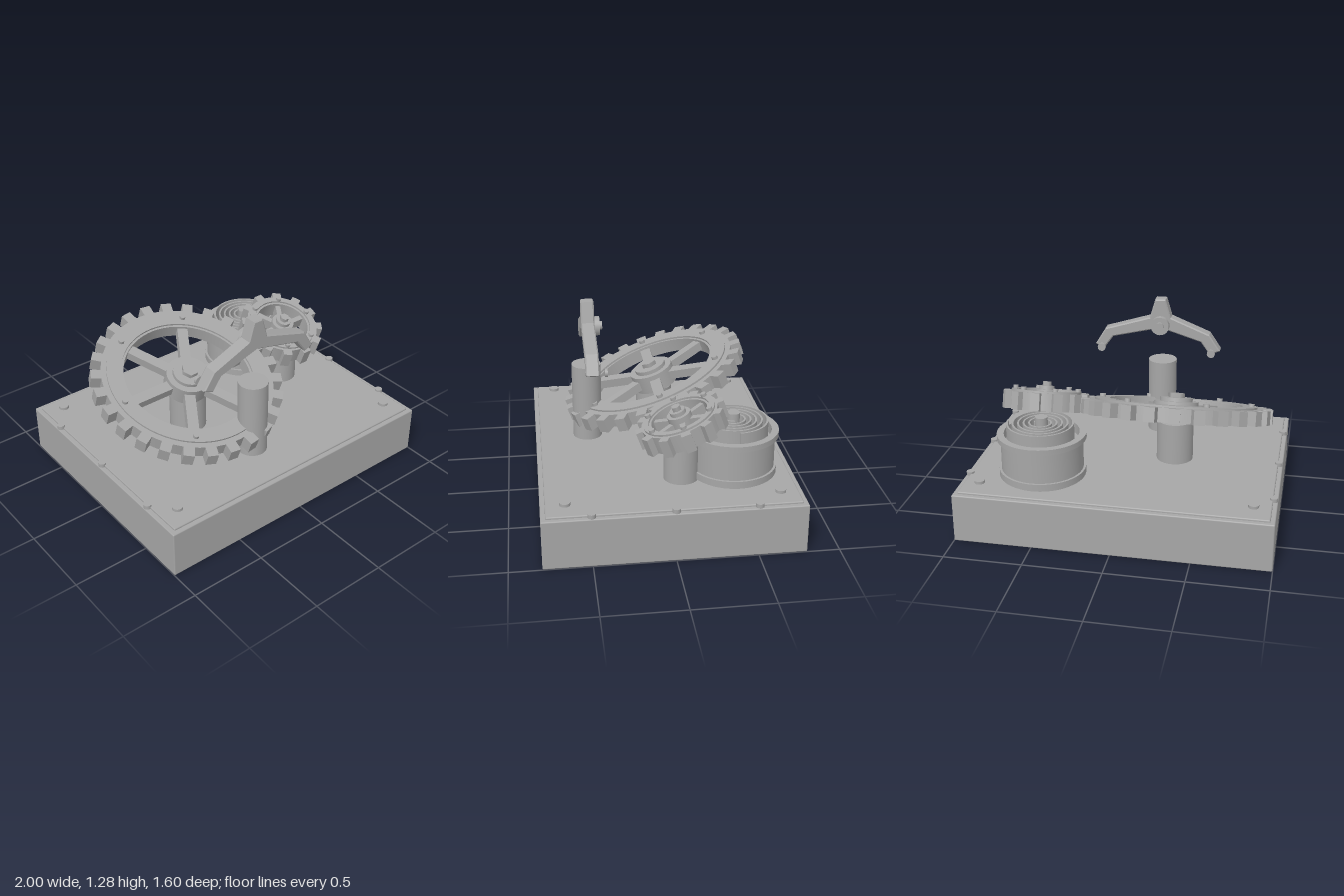
import * as THREE from 'three';
import { toCreasedNormals } from 'three/addons/utils/BufferGeometryUtils.js';
import { RoundedBoxGeometry } from 'three/addons/geometries/RoundedBoxGeometry.js';

const metal = new THREE.MeshStandardMaterial({ color: 0xa6a6a6 });
metal.name = 'plain grey metal';

function add(parent, name, geometry, x = 0, y = 0, z = 0) {
  const mesh = new THREE.Mesh(geometry, metal);
  mesh.name = name;
  mesh.position.set(x, y, z);
  parent.add(mesh);
  return mesh;
}

// Upright cylinder standing from y0 to y1
function post(parent, name, r, y0, y1, x = 0, z = 0, sides = 32) {
  return add(parent, name, new THREE.CylinderGeometry(r, r, y1 - y0, sides), x, (y0 + y1) / 2, z);
}

// Flat ring with a rectangular section
function ring(parent, name, rIn, rOut, y0, y1, x = 0, z = 0) {
  const profile = [[rIn, y0], [rOut, y0], [rOut, y1], [rIn, y1], [rIn, y0]]
    .map(([r, y]) => new THREE.Vector2(r, y));
  return add(parent, name, toCreasedNormals(new THREE.LatheGeometry(profile, 64), 0.6), x, 0, z);
}

// Spoked gear lying in its own xz plane
function gear(name, g) {
  const group = new THREE.Group();
  group.name = name;
  const h = g.thickness / 2;
  ring(group, 'gearRim', g.opening, g.body, -h, h);
  ring(group, 'raisedRing', g.opening + 0.015, g.body - g.lip, h, h + 0.012);

  const depth = g.outer - g.body + 0.02;
  for (let i = 0; i < g.teeth; i++) {
    const a = (i / g.teeth) * Math.PI * 2;
    const r = g.outer - depth / 2;
    const tooth = add(group, 'tooth', new THREE.BoxGeometry(depth, g.thickness, g.toothWidth),
      Math.cos(a) * r, 0, -Math.sin(a) * r);
    tooth.rotation.y = a;
  }
  for (let i = 0; i < 6; i++) {
    const a = (i / 6) * Math.PI * 2;
    const r0 = g.hub * 0.8, r1 = g.opening + 0.01, r = (r0 + r1) / 2;
    const spoke = add(group, 'spoke', new THREE.BoxGeometry(r1 - r0, g.thickness * 0.65, g.spokeWidth),
      Math.cos(a) * r, 0, -Math.sin(a) * r);
    spoke.rotation.y = a;
    post(group, 'rimBolt', g.bolt, h, h + 0.032, Math.cos(a) * g.boltCircle, -Math.sin(a) * g.boltCircle, 12);
  }
  post(group, 'hub', g.hub, -h - 0.015, h + 0.015, 0, 0, 40);
  post(group, 'hubCollar', g.collar, h + 0.015, h + 0.04);
  post(group, 'hubNut', g.nut, h + 0.04, h + 0.068, 0, 0, 6).rotation.y = Math.PI / 6;
  return group;
}

// Flat coil of strip, wound from the outside in
function spiralSpring(turns, rOut, rIn, strip, height) {
  const outer = [], inner = [], n = turns * 40;
  for (let i = 0; i <= n; i++) {
    const a = (i / 40) * Math.PI * 2;
    const r = rOut + (rIn - rOut) * (i / n);
    outer.push(new THREE.Vector2(Math.cos(a) * r, Math.sin(a) * r));
    inner.push(new THREE.Vector2(Math.cos(a) * (r - strip), Math.sin(a) * (r - strip)));
  }
  const shape = new THREE.Shape([...outer, ...inner.reverse()]);
  const geometry = new THREE.ExtrudeGeometry(shape, { depth: height, bevelEnabled: false });
  geometry.rotateX(-Math.PI / 2);
  return toCreasedNormals(geometry, 0.6);
}

export function createModel() {
  const model = new THREE.Group();
  model.name = 'clockworkMechanism';

  // Base block and cover plate
  add(model, 'baseBlock', new RoundedBoxGeometry(2, 0.32, 1.6, 1, 0.008), 0, 0.16, 0);
  add(model, 'coverPlate', new RoundedBoxGeometry(1.94, 0.03, 1.54, 1, 0.008), 0, 0.318, 0);
  for (const sx of [-1, 1]) {
    for (const sz of [-1, 1]) post(model, 'cornerScrew', 0.033, 0.35, 0.368, sx * 0.86, sz * 0.65, 16);
    for (const z of [-0.5, 0, 0.5]) post(model, 'edgeScrew', 0.025, 0.318, 0.345, sx * 0.973, z, 12);
  }

  // Support posts
  post(model, 'largeGearPost', 0.12, 0.32, 0.61, -0.285, -0.02);
  post(model, 'smallGearPost', 0.11, 0.32, 0.61, 0.568, -0.085);
  post(model, 'frontPost', 0.096, 0.32, 0.845, -0.123, 0.449);

  // Pair of tilted gears
  const tilt = THREE.MathUtils.degToRad(20);
  const large = gear('largeGear', {
    outer: 0.63, body: 0.565, opening: 0.42, lip: 0.035, thickness: 0.09, teeth: 26, toothWidth: 0.07,
    spokeWidth: 0.07, hub: 0.147, collar: 0.107, nut: 0.054, bolt: 0.02, boltCircle: 0.49,
  });
  large.position.set(-0.286, 0.669, -0.02);
  const small = gear('smallGear', {
    outer: 0.284, body: 0.245, opening: 0.18, lip: 0.015, thickness: 0.115, teeth: 12, toothWidth: 0.06,
    spokeWidth: 0.035, hub: 0.075, collar: 0.05, nut: 0.03, bolt: 0.018, boltCircle: 0.212,
  });
  small.position.set(0.568, 0.7, -0.09);
  for (const g of [large, small]) {
    g.rotation.x = tilt;
    model.add(g);
  }

  // Spring drum with its coil and arbor
  const dx = 0.51, dz = -0.418;
  ring(model, 'drumWall', 0.24, 0.262, 0.335, 0.6, dx, dz);
  ring(model, 'drumTopFlange', 0.24, 0.284, 0.592, 0.628, dx, dz);
  ring(model, 'drumBottomFlange', 0.24, 0.277, 0.345, 0.39, dx, dz);
  post(model, 'drumFloor', 0.25, 0.335, 0.56, dx, dz, 48);
  add(model, 'mainspring', spiralSpring(5, 0.225, 0.05, 0.012, 0.15), dx, 0.54, dz);
  post(model, 'drumArbor', 0.04, 0.5, 0.73, dx, dz, 24);

  // Forked lever
  const fork = new THREE.Group();
  fork.name = 'forkLever';
  const outline = [
    [-0.145, 1.284], [-0.45 + 0.268, 1.16], [-0.445, 1.055], [-0.52, 0.944], [-0.45, 0.914], [-0.39, 1.0],
    [-0.113, 1.084], [0.214, 1.005], [0.279, 0.914], [0.338, 0.944], [0.268, 1.06], [-0.038, 1.155], [-0.075, 1.284],
  ].map(([x, y]) => new THREE.Vector2(x, y));
  const forkGeometry = new THREE.ExtrudeGeometry(new THREE.Shape(outline), {
    depth: 0.069, bevelThickness: 0.008, bevelSize: 0.008, bevelOffset: -0.008, bevelSegments: 1,
  });
  add(fork, 'forkBody', forkGeometry, 0, 0, 0.398);
  const pin = (name, r, x, y, z0, z1) => {
    post(fork, name, r, z0, z1, 0, 0, 24).rotation.x = Math.PI / 2;
    fork.children.at(-1).position.set(x, y, (z0 + z1) / 2);
  };
  pin('pivotBoss', 0.062, -0.113, 1.108, 0.355, 0.4);
  pin('pivotPin', 0.027, -0.113, 1.11, 0.338, 0.36);
  pin('leftTipPin', 0.027, 0.285, 0.94, 0.338, 0.355);
  pin('rightTipPin', 0.027, -0.465, 0.94, 0.338, 0.355);
  model.add(fork);

  return model;
}
